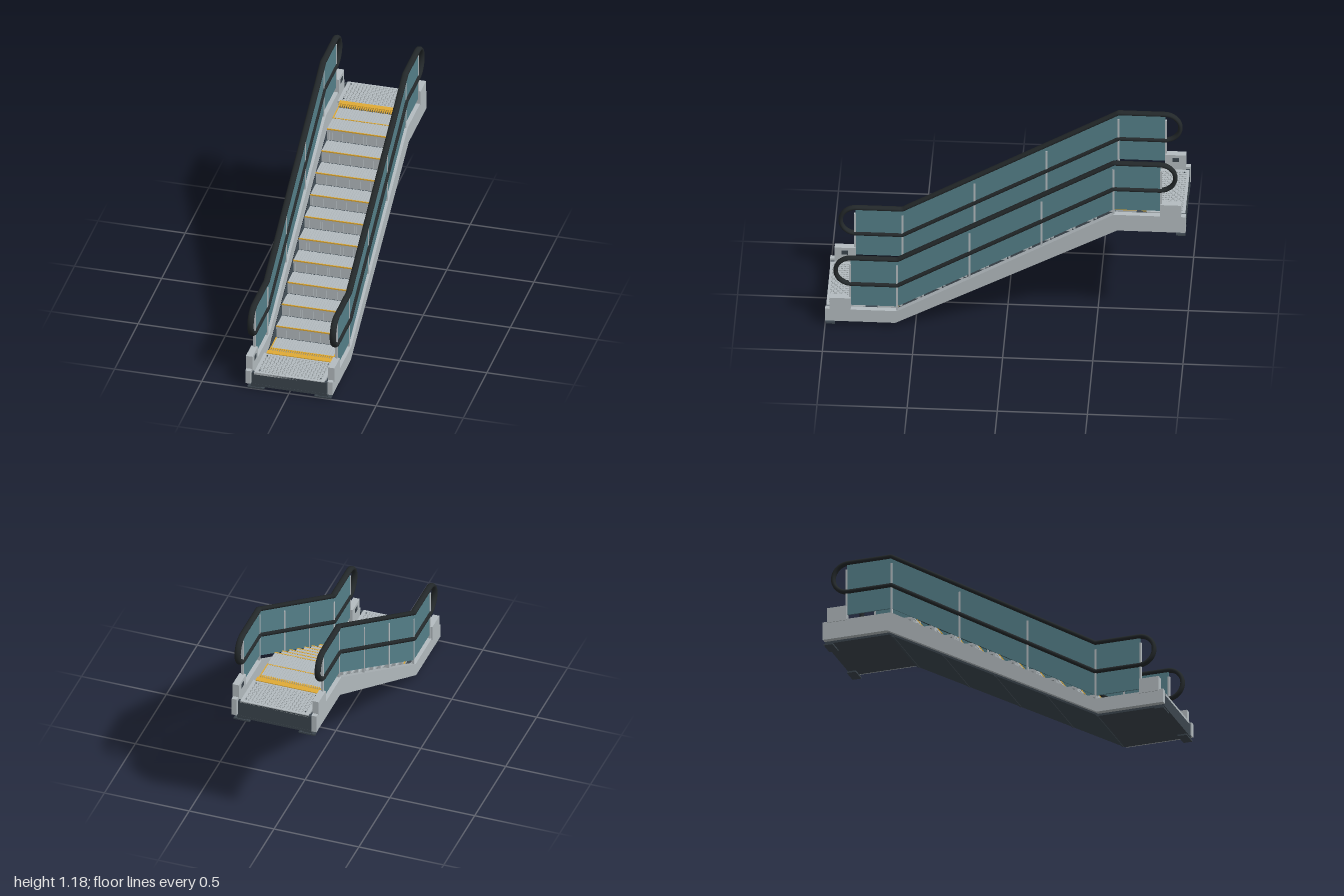
import * as THREE from 'three';
import { mergeGeometries } from 'three/addons/utils/BufferGeometryUtils.js';

const mat = (color, extra = {}) => new THREE.MeshStandardMaterial({ color, ...extra });
const STEEL = mat(0xb4bcc0);
const RIB = mat(0xa3abae);
const DARK = mat(0x3c464e);
const RUBBER = mat(0x23282a);
const GLASS = mat(0x55808a);
const YELLOW = mat(0xe0aa35);

// Height along the incline: lo at the front landing, hi at the back landing
const slope = (z, lo, hi) => lo + (hi - lo) * THREE.MathUtils.clamp((0.6 - z) / 1.2, 0, 1);
const topAt = z => slope(z, 0.11, 0.825);

const box = (x, y, z, w, h, d) => new THREE.BoxGeometry(w, h, d).translate(x, y, z);

// Side profile given as [z, y] points, extruded to a width centred on x
function slab(points, x, width) {
  const shape = new THREE.Shape(points.map(p => new THREE.Vector2(p[0], p[1])));
  return new THREE.ExtrudeGeometry(shape, { depth: width, bevelEnabled: false })
    .rotateY(-Math.PI / 2).translate(x + width / 2, 0, 0);
}

function bottom(lift, end = 1) {
  return [[end, 0.017 + lift], [0.61, 0.017 + lift], [-0.62, 0.706 + lift], [-end, 0.706 + lift]];
}

function top(lo, hi, end) {
  return [[-end, hi], [-0.6, hi], [0.6, lo], [end, lo]];
}

export function createModel() {
  const root = new THREE.Group();
  const add = (name, geos, material, parent = root) => {
    const mesh = new THREE.Mesh(Array.isArray(geos) ? mergeGeometries(geos) : geos, material);
    mesh.name = name;
    parent.add(mesh);
    return mesh;
  };

  // Underside with cross seams
  add('underside', slab([...bottom(0, 0.997), ...bottom(0.014, 0.997).reverse()], 0, 0.436), DARK);
  const seams = [];
  for (const z of [0.6, 0.305, 0, -0.305, -0.6]) {
    const y = 0.017 + 0.689 * (0.61 - z) / 1.23;
    seams.push(new THREE.BoxGeometry(0.43, 0.008, 0.012).rotateX(0.511).translate(0, y, z));
  }
  add('undersideSeams', seams, DARK);

  // End walls and feet
  for (const [s, y, name] of [[1, 0.017, 'front'], [-1, 0.706, 'back']]) {
    const h = s > 0 ? 0.083 : 0.108;
    add(name + 'EndWall', box(0, y + h / 2, s * 0.985, 0.43, h, 0.022), DARK);
    const feet = [];
    for (const x of [-0.192, 0.192]) {
      feet.push(box(x, y - 0.0125, s * 0.972, 0.095, 0.009, 0.052));
      feet.push(box(x, y - 0.004, s * 0.972, 0.06, 0.01, 0.04));
    }
    add(name + 'Feet', feet, DARK);
  }

  // Steps: ribbed treads and risers with yellow noses
  const base = [], ribs = [], edges = [];
  const RISE = 0.0715, RUN = 0.12, RIBS = 24;
  for (let k = 0; k <= 11; k++) {
    const y = 0.1 + RISE * Math.min(k, 10);
    const front = 0.595 - RUN * (k - 1);
    const mid = front - RUN / 2;
    const riser = k > 0 && k < 11;
    base.push(box(0, y - 0.011, mid, 0.366, 0.016, RUN - 0.002));
    if (riser) base.push(box(0, y - 0.04, front - 0.012, 0.366, 0.068, 0.014));
    for (let i = 0; i < RIBS; i++) {
      const x = (i + 0.5) / RIBS * 0.36 - 0.18;
      ribs.push(box(x, y - 0.002, mid - 0.002, 0.009, 0.004, RUN - 0.008));
      if (riser) ribs.push(box(x, y - 0.041, front - 0.004, 0.009, 0.062, 0.004));
    }
    edges.push(box(0, y - 0.003, front - 0.003, 0.366, 0.007, 0.006));
    if (!riser) for (const s of [-1, 1]) edges.push(box(s * 0.181, y - 0.002, mid, 0.006, 0.006, RUN));
  }
  add('stepBodies', base, STEEL);
  add('stepRibs', ribs, STEEL);
  add('stepEdges', edges, YELLOW);

  // Landings with studded plates, screws and toothed combs
  for (const [s, y, name] of [[1, 0.103, 'front'], [-1, 0.818, 'back']]) {
    add(name + 'LandingPlate', box(0, y - 0.006, s * 0.888, 0.402, 0.014, 0.216), STEEL);
    const studs = [], screws = [];
    for (let r = 0; r < 12; r++) for (let c = 0; c < 20; c++) {
      const stud = new THREE.BoxGeometry(0.004, 0.003, 0.013).rotateY((r + c) % 2 ? 0.6 : -0.6);
      studs.push(stud.translate((c - 9.5) * 0.0185, y + 0.002, s * (0.802 + r * 0.0158)));
    }
    for (const x of [-0.175, 0.175]) for (const z of [0.81, 0.97])
      screws.push(new THREE.CylinderGeometry(0.004, 0.004, 0.003, 10).translate(x, y + 0.003, s * z));
    add(name + 'LandingStuds', studs, RIB);
    add(name + 'LandingScrews', screws, DARK);
    const comb = [box(0, y - 0.001, s * 0.768, 0.376, 0.012, 0.034)];
    for (let i = 0; i < 30; i++)
      comb.push(box((i - 14.5) * 0.0124, y, s * 0.738, 0.006, 0.006, 0.032));
    add(name + 'Comb', comb, YELLOW);
  }

  // Handrail loop path in the side plane
  const path = new THREE.Path();
  path.moveTo(0.6, 0.455);
  path.lineTo(-0.6, 1.17);
  path.lineTo(-0.855, 1.17);
  path.absarc(-0.855, 1.0825, 0.0875, Math.PI / 2, Math.PI * 1.5, false);
  path.lineTo(-0.6, 0.995);
  path.lineTo(0.6, 0.28);
  path.lineTo(0.855, 0.28);
  path.absarc(0.855, 0.3675, 0.0875, -Math.PI / 2, Math.PI / 2, false);
  path.lineTo(0.6, 0.455);
  const loop = path.getSpacedPoints(200).slice(0, -1).map(p => new THREE.Vector3(0, p.y, p.x));
  const railCurve = new THREE.CatmullRomCurve3(loop, true);

  // Both balustrades
  for (const [s, name] of [[1, 'left'], [-1, 'right']]) {
    const side = new THREE.Group();
    side.name = name + 'Balustrade';
    root.add(side);
    const x = s * 0.235;

    add('sidePanel', slab([...bottom(0.012), ...top(0.11, 0.825, 1)], x, 0.03), STEEL, side);
    add('glassPanel', slab([[0.86, 0.135], [0.6, 0.135], [-0.6, 0.855], [-0.86, 0.855],
      ...top(0.445, 1.16, 0.86)], x, 0.008), GLASS, side);

    const rail = new THREE.TubeGeometry(railCurve, 300, 0.0125, 12, true).scale(1.45, 1, 1);
    add('handrail', rail.translate(s * 0.236, 0, 0), RUBBER, side);

    // Glass posts
    const posts = [];
    for (const z of [0.863, 0.6, 0.2, -0.2, -0.6, -0.863]) {
      const lo = topAt(z) - 0.005, hi = topAt(z) + 0.305;
      posts.push(box(x, (lo + hi) / 2, z, 0.014, hi - lo, 0.011));
    }
    add('posts', posts, STEEL, side);

    // Newel boxes with small control plates on their inner faces
    for (const e of [1, -1]) {
      const y = e > 0 ? 0.145 : 0.862;
      add('newelBox', box(x, y, e * 0.917, 0.038, 0.088, 0.115), STEEL, side);
      add('controlPlate', box(s * 0.2155, y + 0.012, e * 0.917, 0.004, 0.026, 0.036), DARK, side);
    }
  }
  return root;
}
